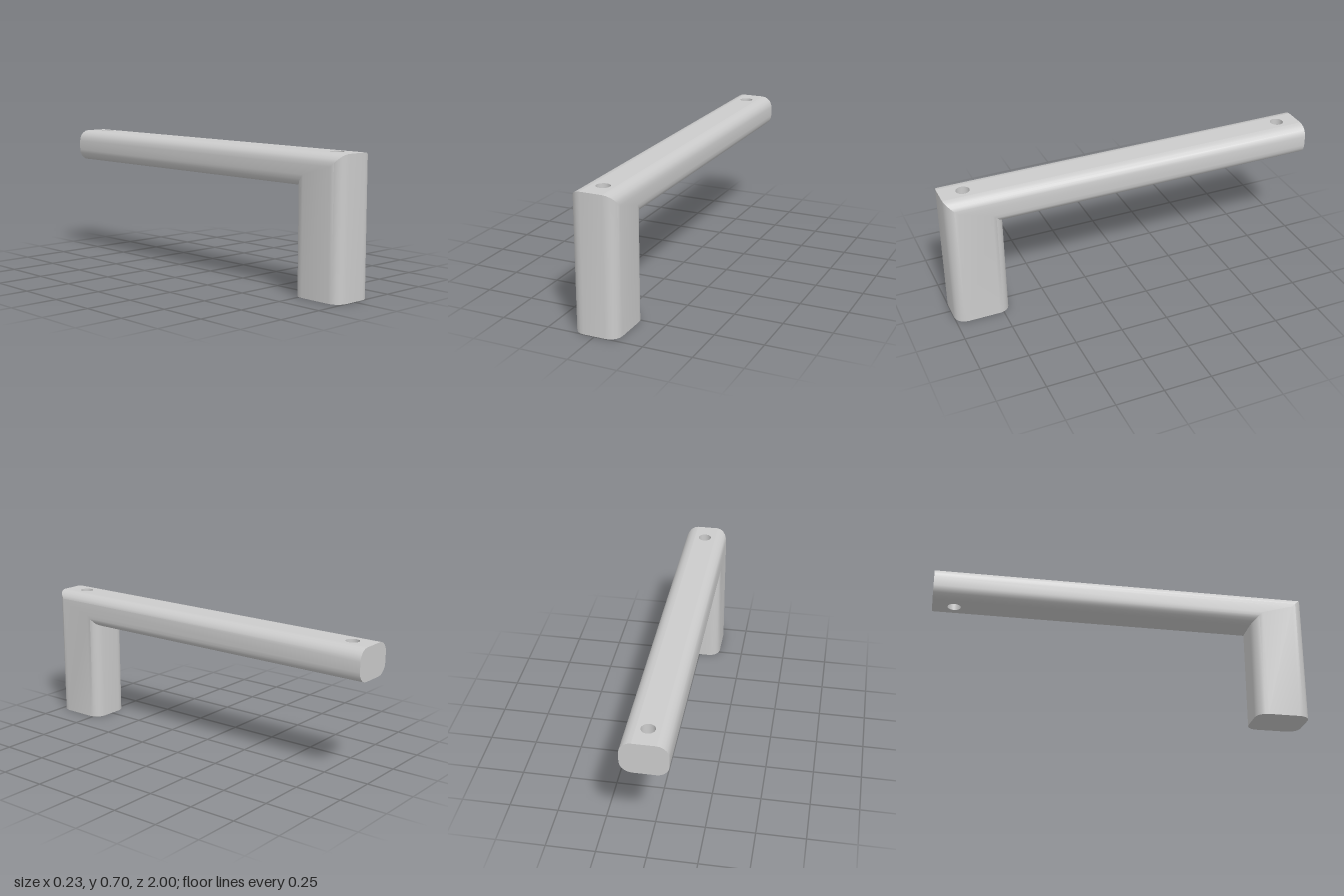
import * as THREE from 'three';
import { toCreasedNormals } from 'three/addons/utils/BufferGeometryUtils.js';

const HALF = 0.117, R = 0.06, STEPS = 5;      // half width, corner radius
const TOP = 0.705, UNDER = 0.535;             // arm height range
const FRONT = 1, INNER = 0.71, BACK = -1;     // leg depth range and arm end
const HOLE_R = 0.035, HOLES = [-0.885, 0.88];

// Rounded profile: x, inset d from the outer or inner face
function profile() {
  const half = [];
  for (const outer of [true, false]) {
    for (let i = 0; i <= STEPS; i++) {
      const a = (outer ? i : STEPS - i) / STEPS * Math.PI / 2;
      half.push({ x: HALF - R + R * Math.sin(a), d: R - R * Math.cos(a), outer });
    }
  }
  return [...half, ...half.slice().reverse().map(p => ({ ...p, x: -p.x }))];
}

// Leg and arm swept through a mitred corner
function barGeometry() {
  const pts = profile(), n = pts.length;
  const y = p => p.outer ? TOP - p.d : UNDER + p.d;
  const z = p => p.outer ? FRONT - p.d : INNER + p.d;
  const rings = [
    pts.map(p => [p.x, 0, z(p)]),
    pts.map(p => [p.x, y(p), z(p)]),
    pts.map(p => [p.x, y(p), BACK]),
  ];
  const pos = [];
  const tri = (a, b, c) => pos.push(...a, ...b, ...c);
  for (let s = 0; s < 2; s++) {
    for (let j = 0; j < n; j++) {
      const k = (j + 1) % n;
      // the arm's flat top and underside are separate drilled plates
      if (s === 1 && (j === n / 2 - 1 || j === n - 1)) continue;
      tri(rings[s][j], rings[s][k], rings[s + 1][k]);
      tri(rings[s][j], rings[s + 1][k], rings[s + 1][j]);
    }
  }
  for (let j = 1; j < n - 1; j++) {
    tri(rings[0][0], rings[0][j + 1], rings[0][j]);
    tri(rings[2][0], rings[2][j], rings[2][j + 1]);
  }
  const g = new THREE.BufferGeometry();
  g.setAttribute('position', new THREE.Float32BufferAttribute(pos, 3));
  return toCreasedNormals(g, Math.PI / 6);
}

// Flat strip with drilled holes; dir = 1 faces up, -1 faces down
function plate(zFront, holes, height, dir) {
  const w = HALF - R, s = new THREE.Shape();
  const a = -dir * zFront, b = -dir * BACK;
  s.moveTo(-w, a).lineTo(w, a).lineTo(w, b).lineTo(-w, b).closePath();
  for (const h of holes) {
    s.holes.push(new THREE.Path().absarc(0, -dir * h, HOLE_R, 0, Math.PI * 2, true));
  }
  return new THREE.ShapeGeometry(s, 16).rotateX(-dir * Math.PI / 2).translate(0, height, 0);
}

export function createModel() {
  const group = new THREE.Group();
  const mat = new THREE.MeshStandardMaterial({ color: 0xcccccc });
  const inside = new THREE.MeshStandardMaterial({ color: 0xcccccc, side: THREE.BackSide });
  const add = (name, geo, m = mat) => {
    const mesh = new THREE.Mesh(geo, m);
    mesh.name = name;
    group.add(mesh);
    return mesh;
  };

  add('bar', barGeometry());
  add('armTop', plate(FRONT, HOLES, TOP, 1));
  add('armUnderside', plate(INNER, [HOLES[0]], UNDER, -1));

  // Hole walls: through at the back, blind at the front
  const depth = TOP - UNDER;
  HOLES.forEach((z, i) => {
    add(i ? 'frontHoleWall' : 'backHoleWall',
      new THREE.CylinderGeometry(HOLE_R, HOLE_R, depth, 32, 1, true), inside)
      .position.set(0, (TOP + UNDER) / 2, z);
  });
  add('frontHoleFloor', new THREE.CircleGeometry(HOLE_R, 32).rotateX(-Math.PI / 2))
    .position.set(0, UNDER, HOLES[1]);

  return group;
}
